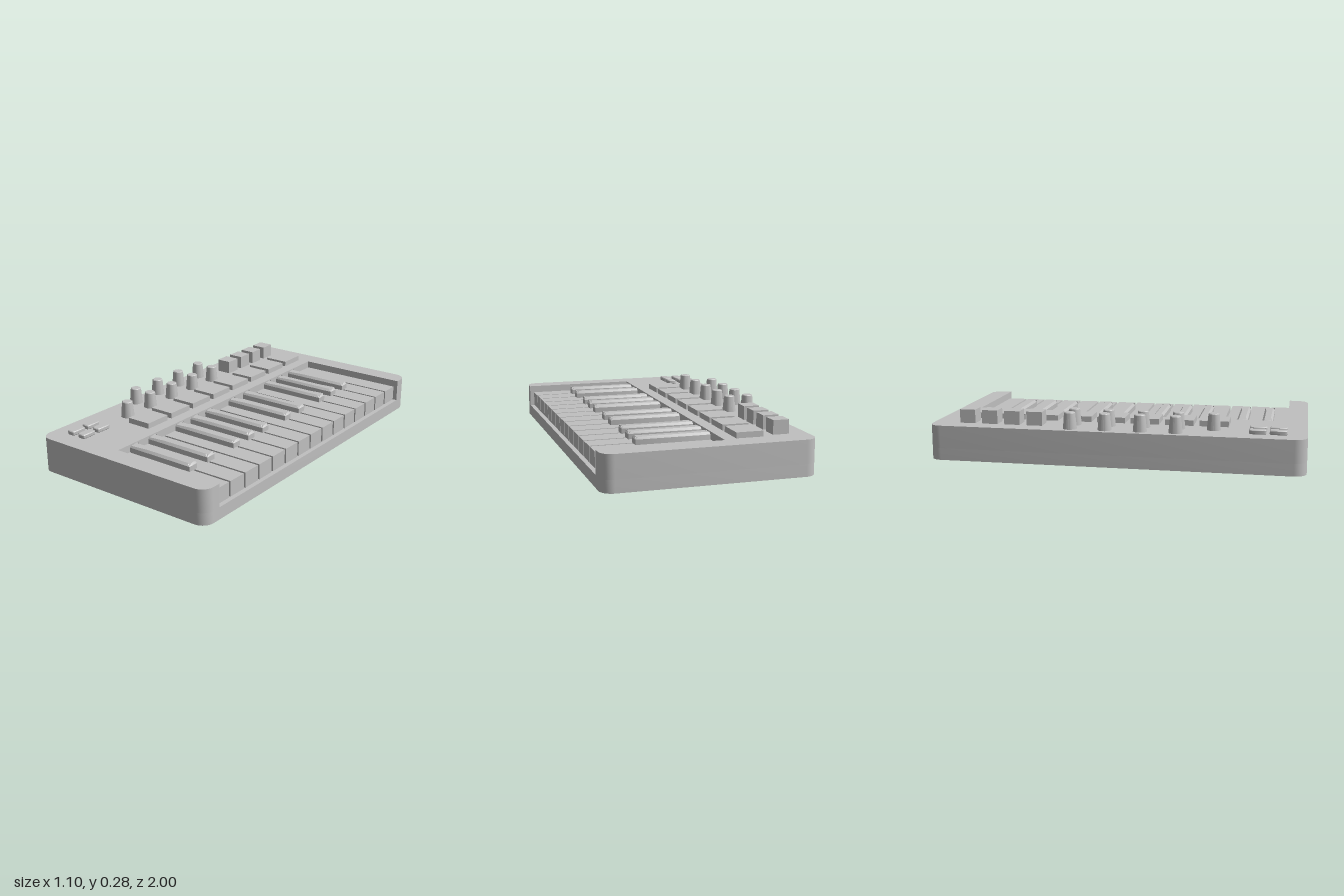
import * as THREE from 'three';
import { toCreasedNormals } from 'three/addons/utils/BufferGeometryUtils.js';

const TOP = 0.188, FLOOR = 0.065;

// Extrude a plan shape (x, -z) upwards from y0 to y1, with an optional chamfer on the top
function slab(shape, y0, y1, bevel = 0) {
  const g = new THREE.ExtrudeGeometry(shape, {
    depth: y1 - y0 - 2 * bevel, curveSegments: 5, bevelEnabled: bevel > 0,
    bevelThickness: bevel, bevelSize: bevel, bevelOffset: -bevel, bevelSegments: 1,
  });
  g.rotateX(-Math.PI / 2).translate(0, y0 + bevel, 0);
  return toCreasedNormals(g, 0.5);
}

// Rounded rectangle, optionally with the keybed notch cut into the +x side
function plan(w, d, r, notch) {
  const s = new THREE.Shape(), x = w / 2, y = d / 2;
  s.moveTo(-x + r, -y);
  s.lineTo(x - r, -y);
  s.absarc(x - r, -y + r, r, -Math.PI / 2, 0, false);
  if (notch) {
    s.lineTo(x, -notch.z);
    s.lineTo(notch.x, -notch.z);
    s.lineTo(notch.x, notch.z);
    s.lineTo(x, notch.z);
  }
  s.lineTo(x, y - r);
  s.absarc(x - r, y - r, r, 0, Math.PI / 2, false);
  s.lineTo(-x + r, y);
  s.absarc(-x + r, y - r, r, Math.PI / 2, Math.PI, false);
  s.lineTo(-x, -y + r);
  s.absarc(-x + r, -y + r, r, Math.PI, Math.PI * 1.5, false);
  return s;
}

export function createModel() {
  const model = new THREE.Group();
  model.name = 'miniKeyboardController';
  const grey = new THREE.MeshStandardMaterial({ color: 0xc0c0c0 });
  grey.name = 'light grey';

  const add = (name, geometry, x = 0, y = 0, z = 0) => {
    const m = new THREE.Mesh(geometry, grey);
    m.name = name;
    m.position.set(x, y, z);
    model.add(m);
  };

  // Case: full base plate plus an upper rim open along the key fronts
  add('caseBase', slab(plan(1.1, 2, 0.065), 0, FLOOR));
  add('caseTop', slab(plan(1.1, 2, 0.065, { x: -0.097, z: 0.89 }), FLOOR, TOP));

  // White keys
  const keyWidth = 0.107, pitch = 0.1195;
  const whiteKey = new THREE.BoxGeometry(0.62, 0.083, keyWidth);
  for (let i = 0; i < 15; i++) {
    add('whiteKey', whiteKey, 0.215, FLOOR + 0.0415, -0.8365 + i * pitch);
  }

  // Black keys with chamfered tops
  const blackKey = slab(plan(0.395, 0.058, 0.001), FLOOR, 0.187, 0.012);
  for (const z of [-0.674, -0.544, -0.414, -0.196, -0.056, 0.162, 0.292, 0.422, 0.64, 0.78]) {
    add('blackKey', blackKey, 0.105, 0, z);
  }

  // Row of drum pads
  const pad = new THREE.BoxGeometry(0.143, 0.03, 0.155);
  for (let i = 0; i < 8; i++) add('drumPad', pad, -0.234, TOP + 0.015, -0.797 + i * 0.1866);

  // Square buttons
  const button = new THREE.BoxGeometry(0.086, 0.074, 0.086);
  for (let i = 0; i < 4; i++) add('squareButton', button, -0.41, TOP + 0.037, -0.811 + i * 0.1242);

  // Tapered knobs
  const knob = toCreasedNormals(new THREE.LatheGeometry(
    [[0.037, 0], [0.029, 0.085], [0.025, 0.089], [0, 0.089]].map(([x, y]) => new THREE.Vector2(x, y)), 24), 0.5);
  for (let i = 0; i < 5; i++) {
    const z = -0.233 + i * 0.187;
    add('knob', knob, -0.38, TOP, z);
    if (i < 4) add('knob', knob, -0.488, TOP, z);
  }

  // Small rounded transport buttons
  const small = slab(plan(0.048, 0.09, 0.013), TOP, 0.211, 0.004);
  for (const x of [-0.434, -0.358]) {
    for (const z of [0.746, 0.852]) add('smallButton', small, x, 0, z);
  }

  return model;
}
